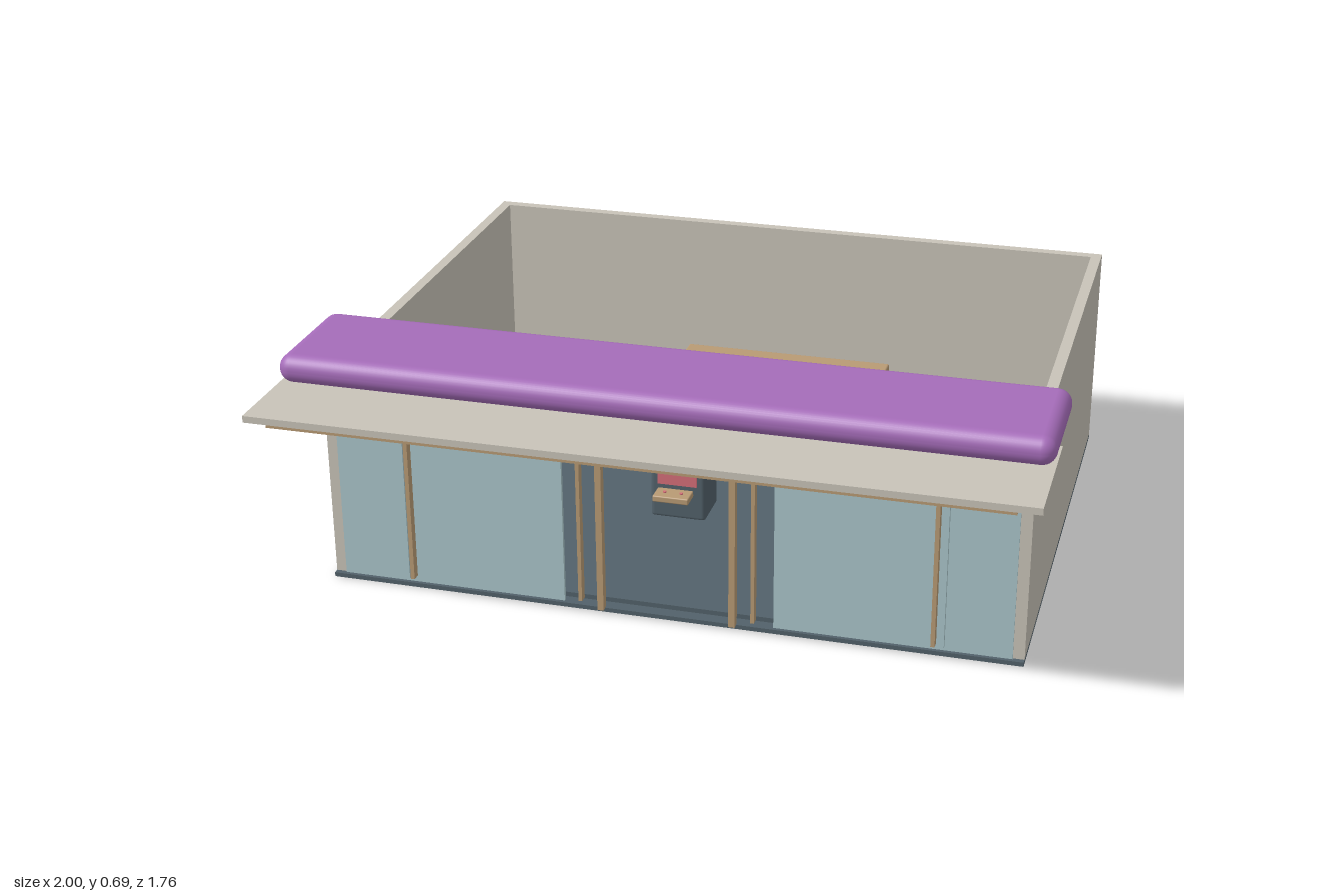
import * as THREE from 'three';
import { RoundedBoxGeometry } from 'three/addons/geometries/RoundedBoxGeometry.js';

const mat = (name, color) => {
  const m = new THREE.MeshStandardMaterial({ color });
  m.name = name;
  return m;
};

export function createModel() {
  const root = new THREE.Group();
  root.name = 'arcadeHall';
  const plaster = mat('plaster', 0xc8c3b8);
  const slate = mat('slate', 0x52616a);
  const purple = mat('purple', 0xa56cb9);
  const glass = mat('glass', 0xa9c4c9);
  const wood = mat('wood', 0xb89a74);
  const coral = mat('coral', 0xd46e78);

  // Box given by its min and max on each axis; r rounds the edges
  const box = (name, m, [x0, x1], [y0, y1], [z0, z1], r = 0, parent = root) => {
    const s = [x1 - x0, y1 - y0, z1 - z0];
    const g = r ? new RoundedBoxGeometry(...s, 4, r) : new THREE.BoxGeometry(...s);
    const mesh = new THREE.Mesh(g, m);
    mesh.name = name;
    mesh.position.set((x0 + x1) / 2, (y0 + y1) / 2, (z0 + z1) / 2);
    parent.add(mesh);
    return mesh;
  };
  // Same box on both sides of x = 0
  const pair = (name, m, [x0, x1], y, z) => {
    box(name + 'Left', m, [x0, x1], y, z);
    box(name + 'Right', m, [-x1, -x0], y, z);
  };

  // Shell: floor, three walls, header over the shop front
  box('base', slate, [-0.94, 0.94], [0, 0.012], [-0.88, 0.545]);
  box('floor', slate, [-0.91, 0.91], [0.012, 0.025], [-0.85, 0.51]);
  box('backWall', plaster, [-0.94, 0.94], [0.012, 0.6], [-0.88, -0.85]);
  pair('sideWall', plaster, [0.91, 0.94], [0.012, 0.6], [-0.85, 0.53]);
  box('header', plaster, [-0.94, 0.94], [0.53, 0.6], [0.525, 0.55]);

  // Shop front: glass panes, mullions and door posts
  pair('windowPane', glass, [0.285, 0.91], [0.012, 0.5], [0.525, 0.535]);
  pair('glassFin', glass, [0.72, 0.735], [0.025, 0.53], [0.53, 0.547]);
  pair('mullion', wood, [0.702, 0.713], [0.03, 0.55], [0.518, 0.558]);
  pair('doorFrame', wood, [0.229, 0.239], [0.03, 0.55], [0.535, 0.558]);
  pair('doorHandle', wood, [0.17, 0.187], [0.01, 0.47], [0.535, 0.558]);

  // Canopy with its edge trim and padded sign
  box('canopy', plaster, [-1, 1], [0.6, 0.618], [0.53, 0.878]);
  box('canopyTrim', wood, [-0.94, 0.94], [0.591, 0.6], [0.858, 0.874]);
  box('signBolster', purple, [-1, 1], [0.618, 0.695], [0.33, 0.677], 0.037);

  // Service counter
  box('counter', wood, [-0.32, 0.32], [0.048, 0.2], [-0.83, -0.712], 0.006);

  // Two staggered rows of game cabinets
  const screens = [glass, coral, purple];
  const buttonGeo = new THREE.CylinderGeometry(0.005, 0.005, 0.005, 12);
  const cabinet = (x, z, screenMat) => {
    const g = new THREE.Group();
    g.name = 'gameCabinet';
    g.position.set(x, 0, z);
    box('cabinetBody', slate, [-0.08, 0.08], [0.02, 0.277], [-0.068, 0.068], 0.012, g);
    box('screen', screenMat, [-0.057, 0.057], [0.13, 0.238], [0.067, 0.076], 0, g);
    box('controlPanel', wood, [-0.052, 0.052], [0.107, 0.126], [0.088, 0.147], 0.004, g);
    for (const bx of [-0.024, 0.024]) {
      const b = new THREE.Mesh(buttonGeo, coral);
      b.name = 'button';
      b.position.set(bx, 0.127, 0.117);
      g.add(b);
    }
    root.add(g);
  };
  for (let i = 0; i < 3; i++) {
    cabinet(-0.64 + i * 0.52, -0.053, screens[i]);
    cabinet(-0.38 + i * 0.52, -0.525, screens[(i + 2) % 3]);
  }
  return root;
}
